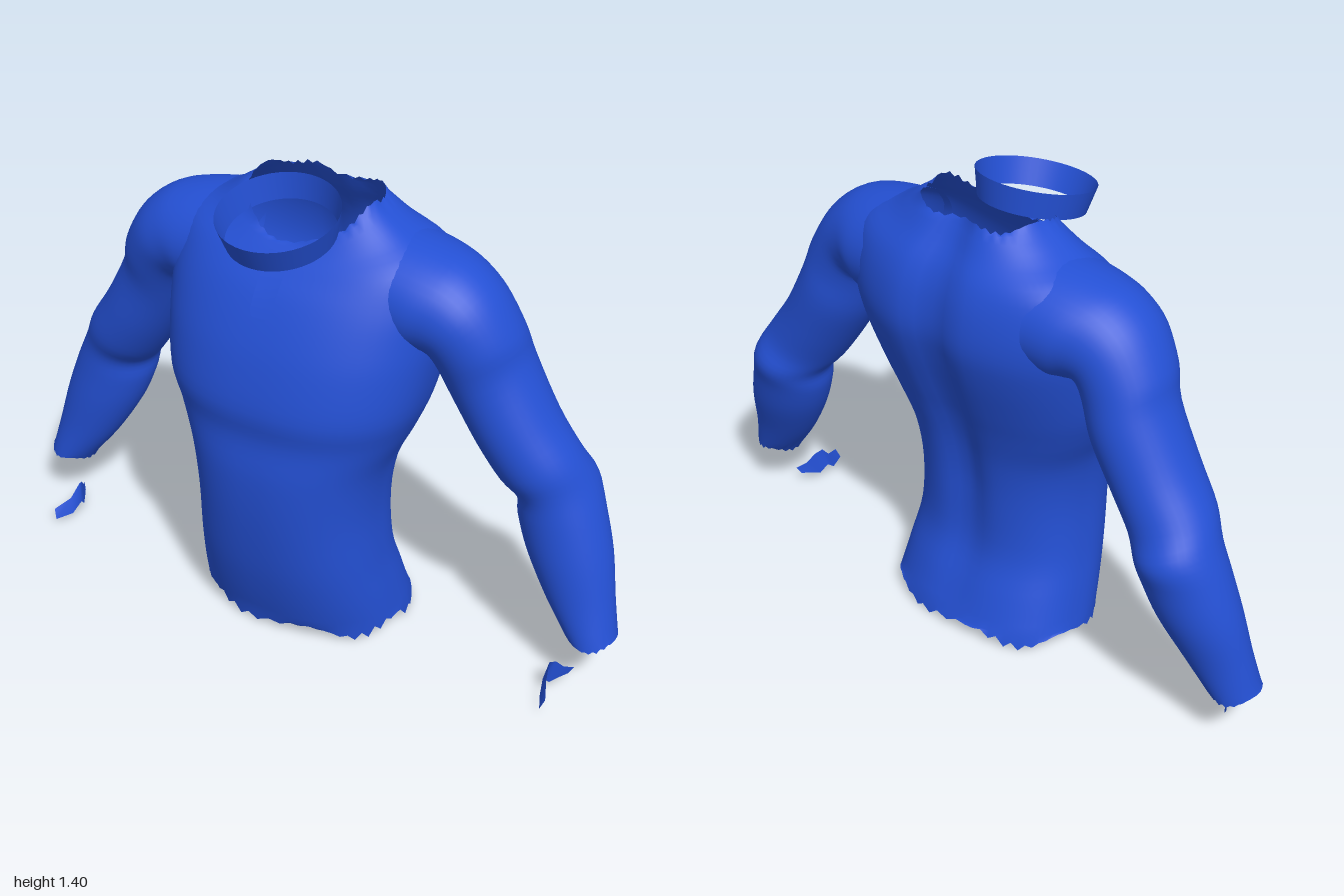
import * as THREE from 'three';

const fabric = new THREE.MeshStandardMaterial({ color: 0x2450d4, side: THREE.DoubleSide });
fabric.name = 'blue fabric';

// Smoothly interpolate every column of a table of cross-sections
function refine(rows, steps) {
  const out = [];
  const at = (i) => rows[Math.min(Math.max(i, 0), rows.length - 1)];
  for (let i = 0; i < rows.length - 1; i++) {
    for (let s = 0; s < steps; s++) {
      const t = s / steps;
      out.push(rows[i].map((b, c) => {
        const a = at(i - 1)[c], d = at(i + 1)[c], e = at(i + 2)[c];
        return b + 0.5 * t * (d - a + t * (2 * a - 5 * b + 4 * d - e + t * (3 * (b - d) + e - a)));
      }));
    }
  }
  out.push(rows[rows.length - 1]);
  return out;
}

// Skin a list of point rings
function loft(rings, closed = true) {
  const n = rings[0].length, index = [];
  for (let i = 0; i < rings.length - 1; i++) {
    for (let j = 0; j < (closed ? n : n - 1); j++) {
      const a = i * n + j, b = i * n + (j + 1) % n, c = a + n, d = b + n;
      index.push(a, c, b, b, c, d);
    }
  }
  const geo = new THREE.BufferGeometry();
  geo.setAttribute('position', new THREE.Float32BufferAttribute(rings.flat(2), 3));
  geo.setIndex(index);
  geo.computeVertexNormals();
  return geo;
}

function mesh(name, geo) {
  const m = new THREE.Mesh(geo, fabric);
  m.name = name;
  return m;
}

const power = (v, p) => Math.sign(v) * Math.pow(Math.abs(v), p);
const ragged = (j) => Math.sin(Math.floor(j / 2) * 7.3 + 1) * 0.6 + Math.sin(j * 2.9) * 0.4;

function torso() {
  // side y, front y, back y, half width, front z, back z
  const rows = refine([
    [0.035, 0.035, 0.035, 0.325, 0.215, -0.25],
    [0.15, 0.15, 0.15, 0.31, 0.25, -0.21],
    [0.28, 0.28, 0.28, 0.293, 0.28, -0.168],
    [0.45, 0.45, 0.45, 0.285, 0.303, -0.168],
    [0.6, 0.6, 0.6, 0.305, 0.31, -0.185],
    [0.72, 0.72, 0.72, 0.355, 0.3, -0.215],
    [0.82, 0.82, 0.82, 0.392, 0.31, -0.25],
    [0.95, 0.95, 0.95, 0.415, 0.285, -0.295],
    [1.05, 1.05, 1.05, 0.425, 0.25, -0.317],
    [1.15, 1.14, 1.15, 0.425, 0.205, -0.308],
    [1.25, 1.2, 1.23, 0.395, 0.16, -0.28],
    [1.305, 1.235, 1.3, 0.29, 0.13, -0.235],
    [1.37, 1.265, 1.36, 0.195, 0.1, -0.2],
  ], 4);
  const n = 72;
  const rings = rows.map(([ys, yf, yb, hw, zf, zb], i) => {
    const mid = (zf + zb) / 2, half = (zf - zb) / 2, ring = [];
    for (let j = 0; j < n; j++) {
      const a = (j / n) * Math.PI * 2, s = Math.sin(a), front = s > 0;
      const x = hw * power(Math.cos(a), 0.85);
      let z = mid + half * power(s, front ? 0.9 : 0.78);
      let y = ys + ((front ? yf : yb) - ys) * s * s;
      // groove along the spine
      if (!front) z += 0.035 * Math.exp(-((x / 0.07) ** 2)) * Math.min(1, ys * 2) * s * s;
      // torn hem and neckline
      if (i === 0) y += 0.026 * ragged(j);
      if (i === rows.length - 1) y += 0.013 * ragged(j);
      ring.push([x, y, z]);
    }
    return ring;
  });
  return mesh('torso', loft(rings));
}

function arm() {
  // outer x, outer y, inner x, inner y, front z, back z, from wrist to shoulder
  const rows = refine([
    [1.0, 0.19, 0.865, 0.168, 0.02, -0.14],
    [0.975, 0.3, 0.775, 0.28, 0.012, -0.17],
    [0.945, 0.43, 0.695, 0.41, 0.01, -0.215],
    [0.905, 0.55, 0.655, 0.51, 0.005, -0.24],
    [0.865, 0.645, 0.645, 0.575, 0.005, -0.26],
    [0.82, 0.73, 0.6, 0.63, 0.03, -0.232],
    [0.745, 0.84, 0.53, 0.73, 0.045, -0.225],
    [0.665, 0.99, 0.455, 0.85, 0.055, -0.225],
    [0.635, 1.08, 0.41, 0.95, 0.08, -0.215],
    [0.57, 1.185, 0.39, 0.985, 0.1, -0.215],
    [0.49, 1.25, 0.365, 0.98, 0.11, -0.228],
    [0.4, 1.28, 0.34, 0.97, 0.12, -0.25],
    [0.29, 1.3, 0.31, 0.97, 0.12, -0.26],
  ], 4);
  const n = 40;
  const rings = rows.map(([ox, oy, ix, iy, zf, zb], i) => {
    const ring = [];
    for (let j = 0; j < n; j++) {
      const a = (j / n) * Math.PI * 2, c = Math.cos(a) / 2, s = Math.sin(a) / 2;
      const tear = i === 0 ? 0.01 * ragged(j) : 0;
      ring.push([(ox + ix) / 2 + (ox - ix) * c, (oy + iy) / 2 + (oy - iy) * c + tear, (zf + zb) / 2 + (zf - zb) * s]);
    }
    return ring;
  });
  return mesh('sleeve', loft(rings));
}

// Loose torn scrap hanging below the wrist
function scrap() {
  const strips = [
    [0.88, 0.04, 0.06, -0.03], [0.86, 0.035, 0.075, 0.0], [0.845, 0.03, 0.105, 0.025],
    [0.835, 0.055, 0.115, 0.05], [0.845, 0.025, 0.075, 0.085], [0.87, 0.025, 0.055, 0.14],
  ];
  return mesh('cuffScrap', loft(strips.map(([x, lo, hi, z]) => [[x, lo, z], [x + 0.012, hi, z - 0.01]]), false));
}

// Short strip down the chest with a rounded lower end
function placket() {
  const rows = [
    [0.012, 1.083, 0.244], [0.027, 1.09, 0.241], [0.035, 1.105, 0.233],
    [0.035, 1.15, 0.209], [0.035, 1.2, 0.17], [0.035, 1.245, 0.132],
  ];
  return mesh('placket', loft(rows.map(([w, y, z]) => [[w, y, z], [0, y, z], [-w, y, z]]), false));
}

export function createModel() {
  const model = new THREE.Group();
  model.name = 'shirt';
  model.add(torso(), placket());

  // Tilted collar band, slightly flared
  const collar = mesh('collar', new THREE.CylinderGeometry(0.174, 0.156, 0.078, 48, 1, true));
  collar.position.set(0, 1.333, 0.135);
  collar.rotation.x = 0.235;
  model.add(collar);

  for (const side of [1, -1]) {
    const group = new THREE.Group();
    group.name = side > 0 ? 'leftArm' : 'rightArm';
    group.add(arm(), scrap());
    group.scale.x = side;
    model.add(group);
  }
  return model;
}
